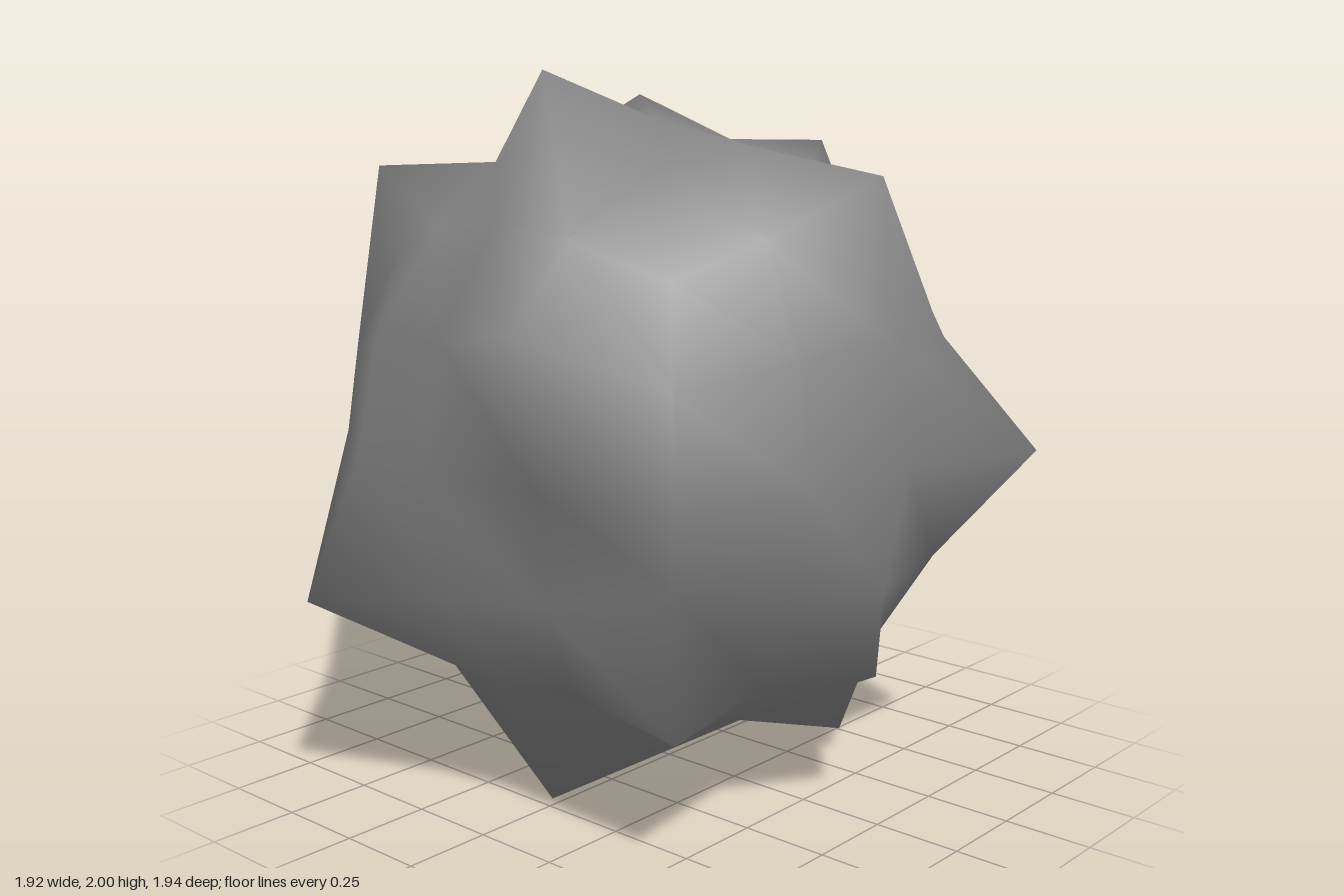
import * as THREE from 'three';
import { mergeVertices } from 'three/addons/utils/BufferGeometryUtils.js';

// Spike tips, relative to the middle of the rock
const SPIKES = [
  // upper half
  [0, 1, 0.43], [-0.40, 0.93, -0.38], [-0.73, 0.73, 0.38], [0.79, 0.74, 0.03],
  [0.39, 0.40, 0.94], [0, 0.79, -0.78],
  // level with the middle
  [0.99, 0, -0.43], [0.78, 0, 0.79], [0.42, 0, -1],
  // lower half
  [0, -1, 0.43], [0.39, -0.93, -0.39], [-0.74, -0.80, 0], [0.77, -0.58, -0.02],
  [-0.40, -0.39, 0.94], [0.63, -0.62, 0.63], [-0.40, -0.32, -0.99], [-0.93, -0.39, -0.40],
].map(p => new THREE.Vector3(...p));

const BASE_RADIUS = 0.87;

export function createModel() {
  // Round body: a cube grid swelled to a sphere with even angles
  let geometry = new THREE.BoxGeometry(2, 2, 2, 4, 4, 4);
  geometry.deleteAttribute('uv');
  geometry.deleteAttribute('normal');
  geometry.clearGroups();
  geometry = mergeVertices(geometry, 1e-3);

  // Turn the diagonal of every grid square the other way
  const index = geometry.index;
  for (let i = 0; i < index.count; i += 6) {
    index.setX(i + 2, index.getX(i + 4));
    index.setX(i + 3, index.getX(i));
  }

  const position = geometry.attributes.position;
  const swell = v => Math.tan(v * Math.PI / 4);
  const points = [];
  for (let i = 0; i < position.count; i++) {
    const p = new THREE.Vector3().fromBufferAttribute(position, i);
    points.push(p.set(swell(p.x), swell(p.y), swell(p.z)).setLength(BASE_RADIUS));
  }

  // Pull the closest body corner out to each spike tip
  for (const tip of SPIKES) {
    const closest = points.reduce((a, b) => (b.angleTo(tip) < a.angleTo(tip) ? b : a));
    closest.copy(tip);
  }

  points.forEach((p, i) => position.setXYZ(i, p.x, p.y, p.z));
  geometry.computeVertexNormals();

  const rock = new THREE.Mesh(geometry, new THREE.MeshStandardMaterial({ color: 0x858585 }));
  rock.name = 'spikyRock';
  rock.position.set(-0.03, 1, 0.03);

  const group = new THREE.Group();
  group.name = 'rock';
  group.add(rock);
  return group;
}
